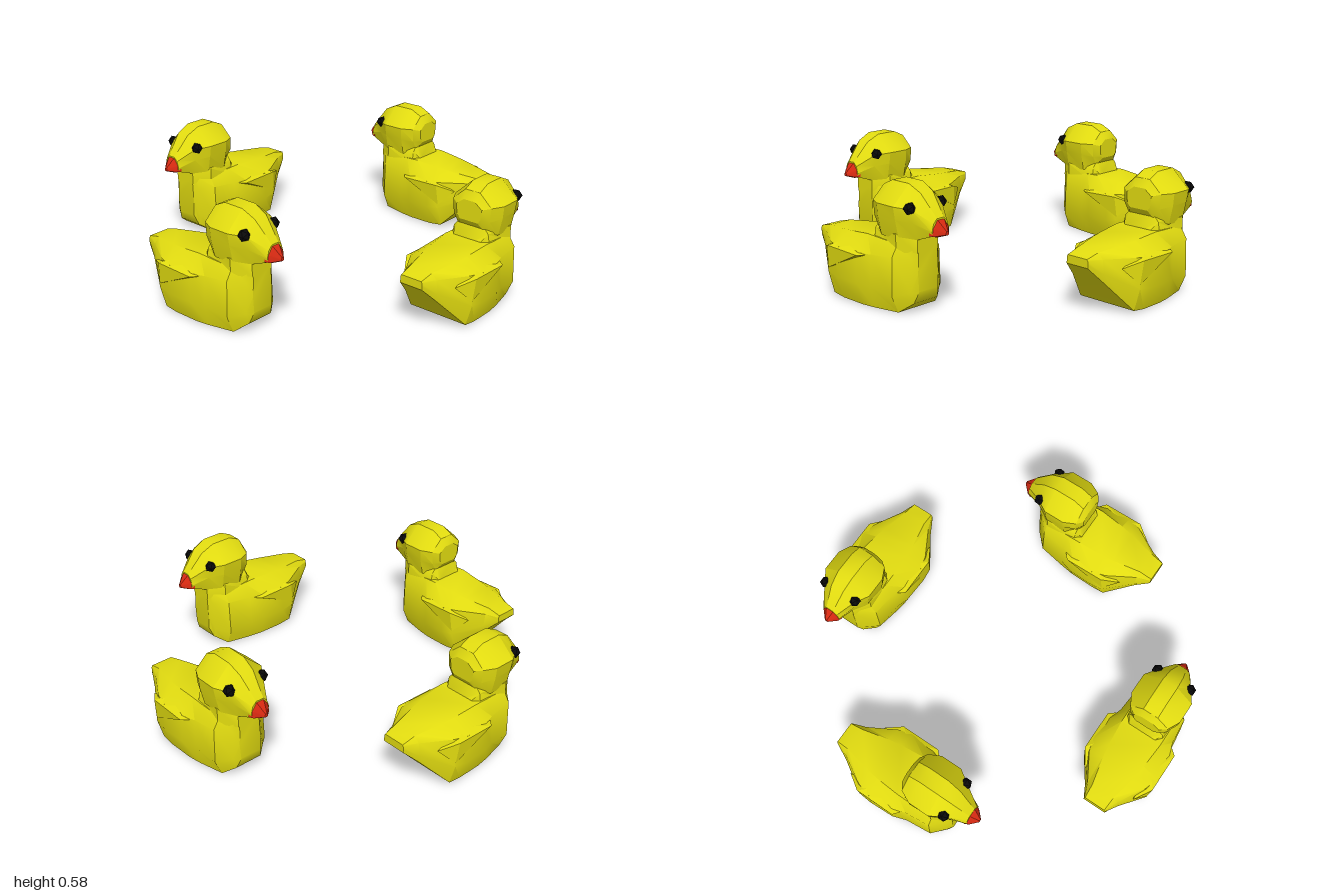
import * as THREE from 'three';
import { toCreasedNormals } from 'three/addons/utils/BufferGeometryUtils.js';
import { ConvexGeometry } from 'three/addons/geometries/ConvexGeometry.js';

const yellow = new THREE.MeshStandardMaterial({ color: 0xe2dc10 });
const red = new THREE.MeshStandardMaterial({ color: 0xd82a12 });
const black = new THREE.MeshStandardMaterial({ color: 0x0a0a0a });

// Skin through cross-sections { z, half: [[x, y], ...] }, each half running
// from top to bottom on the +x side and mirrored to the other side.
function loft(sections, crease) {
  const rings = sections.map(({ z, half }) => [
    ...half.map(([x, y]) => [x, y, z]),
    ...[...half].reverse().map(([x, y]) => [-x, y, z]),
  ]);
  const n = rings[0].length;
  const index = [];
  for (let i = 0; i < rings.length - 1; i++) {
    for (let j = 0; j < n; j++) {
      const k = (j + 1) % n;
      const a = i * n + j, b = i * n + k, c = (i + 1) * n + k, d = (i + 1) * n + j;
      index.push(a, d, b, d, c, b);
    }
  }
  const last = (rings.length - 1) * n;
  for (let j = 1; j < n - 1; j++) {
    index.push(0, j, j + 1, last, last + j + 1, last + j);
  }
  const geometry = new THREE.BufferGeometry();
  geometry.setAttribute('position', new THREE.Float32BufferAttribute(rings.flat(2), 3));
  geometry.setIndex(index);
  return toCreasedNormals(geometry, crease);
}

function add(group, name, geometry, material) {
  const mesh = new THREE.Mesh(geometry, material);
  mesh.name = name;
  group.add(mesh);
  return mesh;
}

// One duck, facing +z
function createDuck() {
  const duck = new THREE.Group();

  // Body: tail to chest
  add(duck, 'body', loft([
    { z: -0.41, half: [[0.055, 0.275], [0.06, 0.265], [0.06, 0.25], [0.06, 0.235]] },
    { z: -0.34, half: [[0.06, 0.292], [0.085, 0.265], [0.095, 0.2], [0.085, 0.165]] },
    { z: -0.2, half: [[0.09, 0.305], [0.165, 0.26], [0.185, 0.12], [0.155, 0.012]] },
    { z: -0.13, half: [[0.1, 0.312], [0.185, 0.255], [0.19, 0.11], [0.155, 0.003]] },
    { z: 0.0, half: [[0.11, 0.325], [0.175, 0.25], [0.185, 0.11], [0.15, 0]] },
    { z: 0.07, half: [[0.11, 0.322], [0.152, 0.25], [0.16, 0.1], [0.14, 0]] },
    { z: 0.2, half: [[0.105, 0.315], [0.14, 0.26], [0.145, 0.08], [0.11, 0]] },
    { z: 0.26, half: [[0.07, 0.315], [0.08, 0.25], [0.085, 0.1], [0.07, 0.045]] },
    { z: 0.28, half: [[0.055, 0.31], [0.055, 0.25], [0.06, 0.18], [0.055, 0.1]] },
  ], 0.6), yellow);

  // Wings: blunt wedges tapering forward
  for (const [name, s] of [['leftWing', 1], ['rightWing', -1]]) {
    const points = [
      [0.14, 0.22, -0.275], [0.185, 0.14, -0.2], [0.195, 0.25, -0.19], [0.195, 0.245, 0.02],
      [0.14, 0.278, -0.12], [0.165, 0.245, 0.045], [0.1, 0.2, -0.1], [0.1, 0.25, 0.03],
    ].map(([x, y, z]) => new THREE.Vector3(s * x, y, z));
    add(duck, name, new ConvexGeometry(points), yellow);
  }

  // Neck
  add(duck, 'neck', loft([
    { z: 0.01, half: [[0.05, 0.33], [0.075, 0.325], [0.075, 0.28]] },
    { z: 0.04, half: [[0.06, 0.4], [0.095, 0.36], [0.11, 0.28]] },
    { z: 0.2, half: [[0.06, 0.42], [0.115, 0.36], [0.115, 0.28]] },
    { z: 0.28, half: [[0.04, 0.38], [0.06, 0.34], [0.06, 0.28]] },
  ], 0.6), yellow);

  // Head: back to beak root
  add(duck, 'head', loft([
    { z: 0.015, half: [[0.03, 0.51], [0.07, 0.48], [0.065, 0.43], [0.05, 0.41]] },
    { z: 0.04, half: [[0.04, 0.55], [0.105, 0.49], [0.1, 0.42], [0.07, 0.37]] },
    { z: 0.1, half: [[0.04, 0.578], [0.135, 0.49], [0.13, 0.43], [0.11, 0.34]] },
    { z: 0.21, half: [[0.04, 0.578], [0.135, 0.49], [0.125, 0.43], [0.105, 0.335]] },
    { z: 0.28, half: [[0.035, 0.545], [0.09, 0.48], [0.085, 0.42], [0.06, 0.34]] },
    { z: 0.365, half: [[0.02, 0.445], [0.04, 0.425], [0.05, 0.39], [0.045, 0.37]] },
  ], 0.45), yellow);

  // Beak
  add(duck, 'beak', loft([
    { z: 0.35, half: [[0.02, 0.443], [0.052, 0.405], [0.054, 0.37], [0.03, 0.362]] },
    { z: 0.372, half: [[0.018, 0.435], [0.04, 0.402], [0.044, 0.37], [0.028, 0.364]] },
    { z: 0.408, half: [[0.004, 0.392], [0.008, 0.386], [0.008, 0.378], [0.004, 0.375]] },
  ], 0.5), red);

  // Eyes
  for (const [name, s] of [['leftEye', 1], ['rightEye', -1]]) {
    const eye = add(duck, name, toCreasedNormals(new THREE.IcosahedronGeometry(0.03, 0), 0.3), black);
    eye.position.set(s * 0.09, 0.485, 0.268);
  }
  return duck;
}

export function createModel() {
  const model = new THREE.Group();
  model.name = 'duckRing';
  // Four ducks swimming in a circle
  for (let i = 0; i < 4; i++) {
    const duck = createDuck();
    duck.name = `duck${i + 1}`;
    const turn = (i * Math.PI) / 2;
    duck.rotation.y = turn;
    duck.position.set(-0.805 * Math.cos(turn), 0, 0.805 * Math.sin(turn));
    model.add(duck);
  }
  return model;
}
